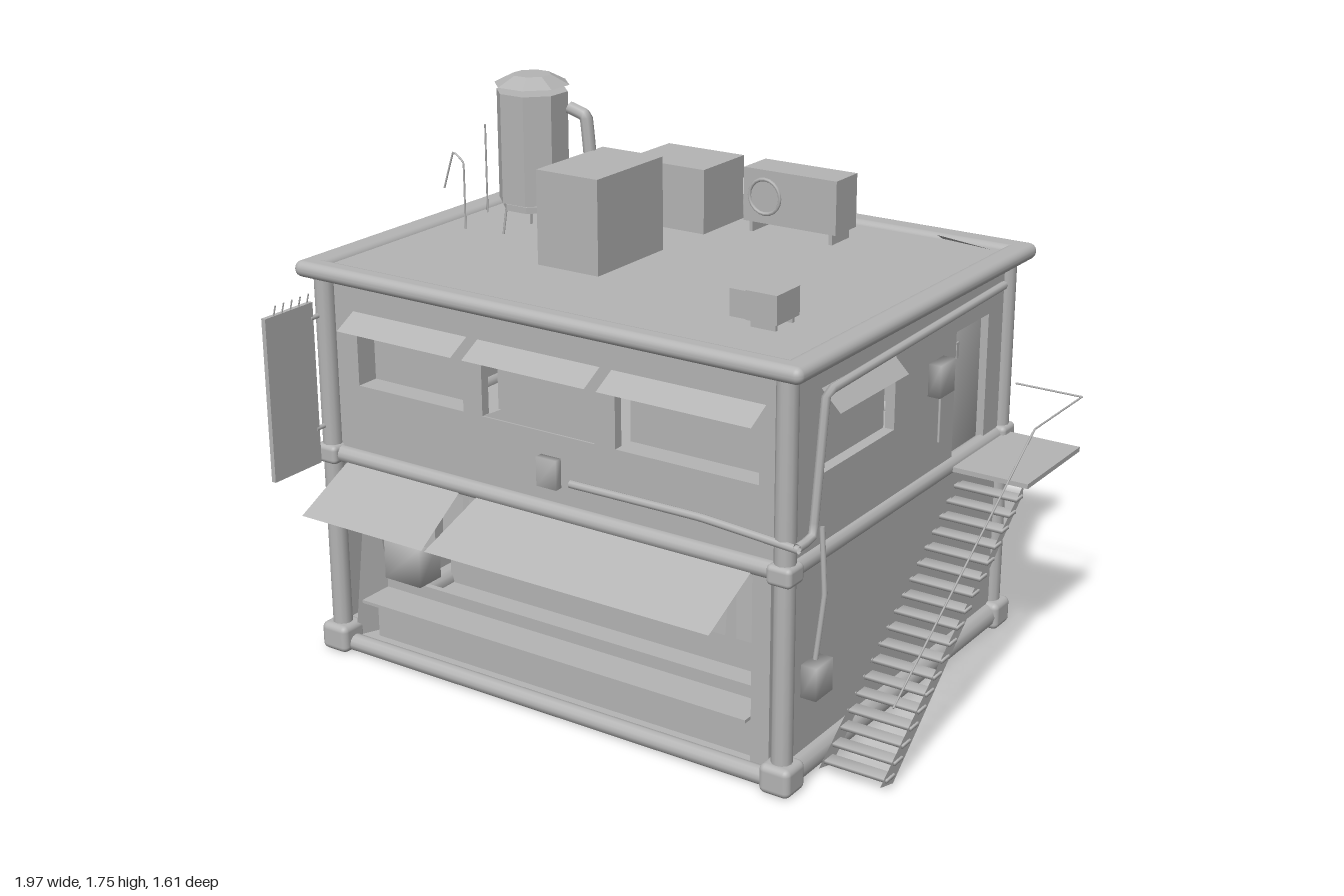
import * as THREE from 'three';
import { mergeVertices } from 'three/addons/utils/BufferGeometryUtils.js';
import { RoundedBoxGeometry } from 'three/addons/geometries/RoundedBoxGeometry.js';

const V = (x, y, z) => new THREE.Vector3(x, y, z);

export function createModel() {
  const root = new THREE.Group();
  const grey = new THREE.MeshStandardMaterial({ color: 0xb4b4b4, side: THREE.DoubleSide });
  grey.name = 'plain grey';

  const add = (name, geometry) => {
    const mesh = new THREE.Mesh(geometry, grey);
    mesh.name = name;
    root.add(mesh);
    return mesh;
  };
  // box given by its two extreme corners
  const box = (name, x0, y0, z0, x1, y1, z1) =>
    add(name, new THREE.BoxGeometry(x1 - x0, y1 - y0, z1 - z0)
      .translate((x0 + x1) / 2, (y0 + y1) / 2, (z0 + z1) / 2));
  // box whose corners share softened normals
  const softBox = (name, ...c) => {
    const mesh = box(name, ...c);
    const g = mesh.geometry;
    g.deleteAttribute('normal');
    g.deleteAttribute('uv');
    mesh.geometry = mergeVertices(g);
    mesh.geometry.computeVertexNormals();
    return mesh;
  };
  const rounded = (name, x0, y0, z0, x1, y1, z1, r) =>
    add(name, new RoundedBoxGeometry(x1 - x0, y1 - y0, z1 - z0, 3, r)
      .translate((x0 + x1) / 2, (y0 + y1) / 2, (z0 + z1) / 2));
  // straight bar between two points
  const bar = (name, a, b, r, sides = 12) => {
    const d = b.clone().sub(a);
    const mesh = add(name, new THREE.CylinderGeometry(r, r, d.length(), sides));
    mesh.position.copy(a).add(b).multiplyScalar(0.5);
    mesh.quaternion.setFromUnitVectors(V(0, 1, 0), d.normalize());
    return mesh;
  };
  // flat polygon through points in order
  const sheet = (name, ...p) => {
    const g = new THREE.BufferGeometry().setFromPoints(p);
    g.setIndex(p.slice(2).flatMap((_, i) => [0, i + 1, i + 2]));
    g.computeVertexNormals();
    return add(name, g);
  };
  const rect = (path, [x0, y0, x1, y1]) =>
    path.moveTo(x0, y0).lineTo(x1, y0).lineTo(x1, y1).lineTo(x0, y1).closePath();
  const wall = (name, outline, holes) => {
    const s = rect(new THREE.Shape(), outline);
    holes.forEach((h) => s.holes.push(rect(new THREE.Path(), h)));
    return add(name, new THREE.ExtrudeGeometry(s, { depth: 0.03, bevelEnabled: false }));
  };

  const L = -0.9, R = 0.712, F = 0.545, B = -0.735;

  // corner posts with foot blocks and joint blocks
  for (const x of [L, R]) for (const z of [F, B]) {
    bar('cornerPost', V(x, 0.05, z), V(x, 1.23, z), 0.031);
    rounded('postFoot', x - 0.05, 0, z - 0.05, x + 0.05, 0.09, z + 0.05, 0.02);
    rounded('postJoint', x - 0.04, 0.63, z - 0.04, x + 0.04, 0.69, z + 0.04, 0.015);
  }
  // base and middle beams
  for (const [y, r, n] of [[0.045, 0.042, 'baseBeam'], [0.66, 0.028, 'middleBeam']]) {
    for (const x of [L, R]) bar(n, V(x, y, F), V(x, y, B), r);
    bar(n, V(L, y, B), V(R, y, B), r);
  }
  bar('middleBeam', V(L, 0.66, F), V(R, 0.66, F), 0.026);
  bar('baseBeam', V(L, 0.027, F), V(R, 0.027, F), 0.027);

  // roof slab and rolled parapet
  box('roofSlab', -0.92, 1.21, -0.76, 0.73, 1.25, 0.56);
  for (const [x0, x1] of [[-0.975, -0.89], [0.7, 0.78]])
    rounded('parapet', x0, 1.215, -0.81, x1, 1.265, 0.6, 0.024);
  for (const [z0, z1] of [[-0.81, -0.72], [0.525, 0.6]])
    rounded('parapet', -0.975, 1.215, z0, 0.78, 1.265, z1, 0.024);

  // front upper wall, windows and their awnings
  const windows = [[-0.79, -0.39], [-0.32, 0.08], [0.15, 0.62]];
  wall('frontWall', [L, 0.65, R, 1.23], windows.map(([a, b]) => [a, 0.89, b, 1.09])).position.z = 0.505;
  for (const [a, b] of windows) {
    sheet('windowPane', V(a, 0.89, 0.46), V(b, 0.89, 0.46), V(b, 1.09, 0.46), V(a, 1.09, 0.46));
    sheet('windowSill', V(a, 0.89, 0.46), V(b, 0.89, 0.46), V(b, 0.89, 0.51), V(a, 0.89, 0.51));
    sheet('windowAwning', V(a - 0.01, 1.08, 0.61), V(b + 0.02, 1.08, 0.61),
      V(b + 0.02, 1.125, 0.53), V(a - 0.01, 1.125, 0.53));
  }
  // half-closed blind of the middle window
  sheet('windowBlind', V(-0.32, 0.89, 0.53), V(0.08, 0.89, 0.53), V(0.08, 1.09, 0.53));

  // right wall, with window and door openings on the upper floor
  const side = wall('rightWall', [-F, 0.65, -B, 1.23], [[-0.4, 0.89, 0.03, 1.13], [0.4, 0.67, 0.61, 1.08]]);
  side.rotation.y = Math.PI / 2;
  side.position.x = 0.69;
  sheet('rightWindowPane', V(0.685, 0.89, 0.4), V(0.685, 0.89, -0.03), V(0.685, 1.13, -0.03), V(0.685, 1.13, 0.4));
  sheet('rightWindowAwning', V(0.78, 1.08, 0.385), V(0.78, 1.08, 0.005), V(0.72, 1.14, 0.005), V(0.72, 1.14, 0.385));
  softBox('door', 0.66, 0.67, -0.61, 0.695, 1.08, -0.4);
  box('doorPlate', 0.695, 0.98, -0.46, 0.7, 1.03, -0.445);
  box('rightLowerWall', 0.69, 0.05, B, 0.72, 0.65, F);

  // rear and left walls; the left ground floor is open above a diagonal
  box('backUpperWall', L, 0.65, B - 0.015, R, 1.23, B + 0.015);
  box('backLowerWall', L, 0.05, B, R, 0.65, B + 0.015);
  box('leftUpperWall', L - 0.015, 0.65, B, L + 0.015, 1.23, F);
  sheet('leftLowerWall', V(L, 0.65, F), V(L, 0.07, F), V(L, 0.07, B));
  box('upperFloor', L, 0.64, B, R, 0.655, F);

  // ground floor shop: floor, partition, counter and side cheeks
  box('shopFloor', L, 0.02, 0.04, R, 0.04, F);
  box('partition', -0.87, 0.03, 0.035, R, 0.65, 0.05);
  box('partitionDoor', -0.82, 0.1, 0.028, -0.68, 0.52, 0.035);
  box('counter', -0.8, 0.04, 0.46, 0.6, 0.18, 0.49);
  box('counterTop', -0.8, 0.18, 0.44, 0.6, 0.19, 0.56);
  box('counterBack', -0.8, 0.18, 0.42, 0.6, 0.23, 0.44);
  box('rightCheek', 0.6, 0.04, 0.3, 0.66, 0.65, 0.53);
  sheet('leftCheek', V(-0.81, 0.64, 0.5), V(-0.86, 0.04, 0.53), V(-0.8, 0.04, 0.4));
  softBox('counterMachine', -0.79, 0.23, 0.36, -0.65, 0.36, 0.46);

  // hanging cloths under the awning, unevenly spaced
  const clothX = [-0.73, -0.62, -0.515, -0.41, -0.31, -0.205, -0.12, -0.03, 0.055, 0.14, 0.23, 0.335, 0.435, 0.54];
  for (const x of clothX)
    sheet('hangingCloth', V(x - 0.034, 0.375, 0.46), V(x + 0.034, 0.375, 0.46),
      V(x + 0.041, 0.57, 0.45), V(x - 0.041, 0.57, 0.45));

  // large sloping awning in two lengths
  sheet('shopAwning', V(-0.83, 0.54, 0.77), V(-0.37, 0.54, 0.77), V(-0.395, 0.645, 0.56), V(-0.83, 0.645, 0.56));
  sheet('shopAwning', V(-0.36, 0.54, 0.77), V(0.615, 0.54, 0.77), V(0.615, 0.645, 0.56), V(-0.33, 0.645, 0.56));

  // outside staircase, landing and rail
  const steps = 18;
  for (let i = 0; i < steps; i++) {
    const t = (i + 0.5) / steps, z = 0.4 - 0.79 * t, y = 0.015 + 0.615 * t;
    softBox('stairTread', 0.76, y, z - 0.023, 0.965, y + 0.01, z + 0.023);
  }
  for (const x of [0.765, 0.96])
    sheet('stairStringer', V(x, 0.03, 0.43), V(x, 0.01, 0.355), V(x, 0.62, -0.4), V(x, 0.65, -0.4));
  box('landing', 0.72, 0.65, -0.74, 0.985, 0.665, -0.375);
  const rail = [V(0.77, 0.835, -0.72), V(0.99, 0.835, -0.72), V(0.99, 0.835, -0.39), V(0.96, 0.25, 0.37)];
  rail.slice(1).forEach((p, i) => bar('handRail', rail[i], p, 0.003, 6));

  // wall pipes, cables and small boxes
  const tube = (name, r, ...p) =>
    add(name, new THREE.TubeGeometry(new THREE.CatmullRomCurve3(p, false, 'catmullrom', 0.1), 40, r, 8));
  tube('sidePipe', 0.013, V(0.77, 0.76, 0.58), V(0.77, 0.77, 0.5), V(0.78, 1.15, 0.465),
    V(0.78, 1.165, 0.43), V(0.76, 1.175, -0.62));
  tube('frontPipe', 0.012, V(0.0, 0.755, 0.545), V(0.45, 0.765, 0.56), V(0.77, 0.75, 0.57));
  tube('sideCable', 0.008, V(0.74, 0.36, 0.42), V(0.755, 0.55, 0.405), V(0.74, 0.75, 0.4));
  tube('sideCable', 0.004, V(0.735, 0.93, -0.28), V(0.74, 0.78, -0.27));
  softBox('meterBox', 0.72, 0.93, -0.32, 0.76, 1.03, -0.23);
  softBox('lowerMeterBox', 0.72, 0.255, 0.375, 0.77, 0.355, 0.465);
  softBox('frontMeterBox', -0.11, 0.73, 0.53, -0.04, 0.82, 0.56);

  // projecting side sign on two brackets
  box('hangingSign', -0.915, 0.64, 0.6, -0.9, 1.15, 0.8);
  for (const y of [0.75, 1.1]) bar('signBracket', V(-0.905, y, 0.54), V(-0.905, y, 0.61), 0.008, 6);
  for (let i = 0; i < 5; i++) bar('signSpike', V(-0.907, 1.14, 0.62 + i * 0.035), V(-0.9, 1.18, 0.615 + i * 0.035), 0.003, 4);

  // rooftop units
  box('roofUnit', -0.43, 1.24, -0.59, -0.145, 1.455, -0.36);
  box('tallRoofUnit', -0.375, 1.24, -0.15, -0.155, 1.54, 0.185);
  box('fanUnit', -0.065, 1.285, -0.59, 0.265, 1.455, -0.465);
  for (const x of [-0.05, 0.235]) box('fanUnitFoot', x, 1.24, -0.58, x + 0.012, 1.29, -0.475);
  add('fanRing', new THREE.TorusGeometry(0.055, 0.006, 6, 20)).position.set(0.01, 1.37, -0.465);
  box('ventBox', 0.45, 1.27, 0.22, 0.55, 1.355, 0.34);
  box('ventNozzle', 0.395, 1.27, 0.23, 0.45, 1.35, 0.335);
  for (const z of [0.23, 0.32]) box('ventFoot', 0.46, 1.24, z, 0.54, 1.27, z + 0.01);
  sheet('roofScrap', V(0.5, 1.255, -0.715), V(0.68, 1.255, -0.69), V(0.5, 1.275, -0.68));

  // faceted water tank with lid, lower ring and legs
  const tx = -0.595, tz = -0.09;
  const facet = (name, r0, r1, h, y) => {
    const g = new THREE.CylinderGeometry(r0, r1, h, 8).rotateY(Math.PI / 8).toNonIndexed();
    g.computeVertexNormals();
    add(name, g).position.set(tx, y, tz);
  };
  facet('waterTank', 0.112, 0.112, 0.34, 1.53);
  facet('tankLid', 0.06, 0.118, 0.03, 1.735);
  facet('tankRing', 0.1, 0.1, 0.02, 1.345);
  for (let i = 0; i < 4; i++) {
    const a = Math.PI * (0.25 + i / 2), c = Math.cos(a), s = Math.sin(a);
    bar('tankLeg', V(tx + 0.085 * c, 1.35, tz + 0.085 * s), V(tx + 0.1 * c, 1.24, tz + 0.1 * s), 0.004, 5);
  }
  // tank overflow pipe and thin aerials
  tube('tankPipe', 0.02, V(-0.46, 1.66, -0.1), V(-0.4, 1.64, -0.1), V(-0.385, 1.5, -0.1), V(-0.39, 1.25, -0.1));
  bar('aerial', V(-0.75, 1.3, -0.05), V(-0.75, 1.58, -0.05), 0.003, 5);
  tube('aerialHook', 0.003, V(-0.8, 1.25, 0), V(-0.8, 1.46, 0), V(-0.84, 1.49, 0), V(-0.88, 1.37, 0));

  return root;
}
